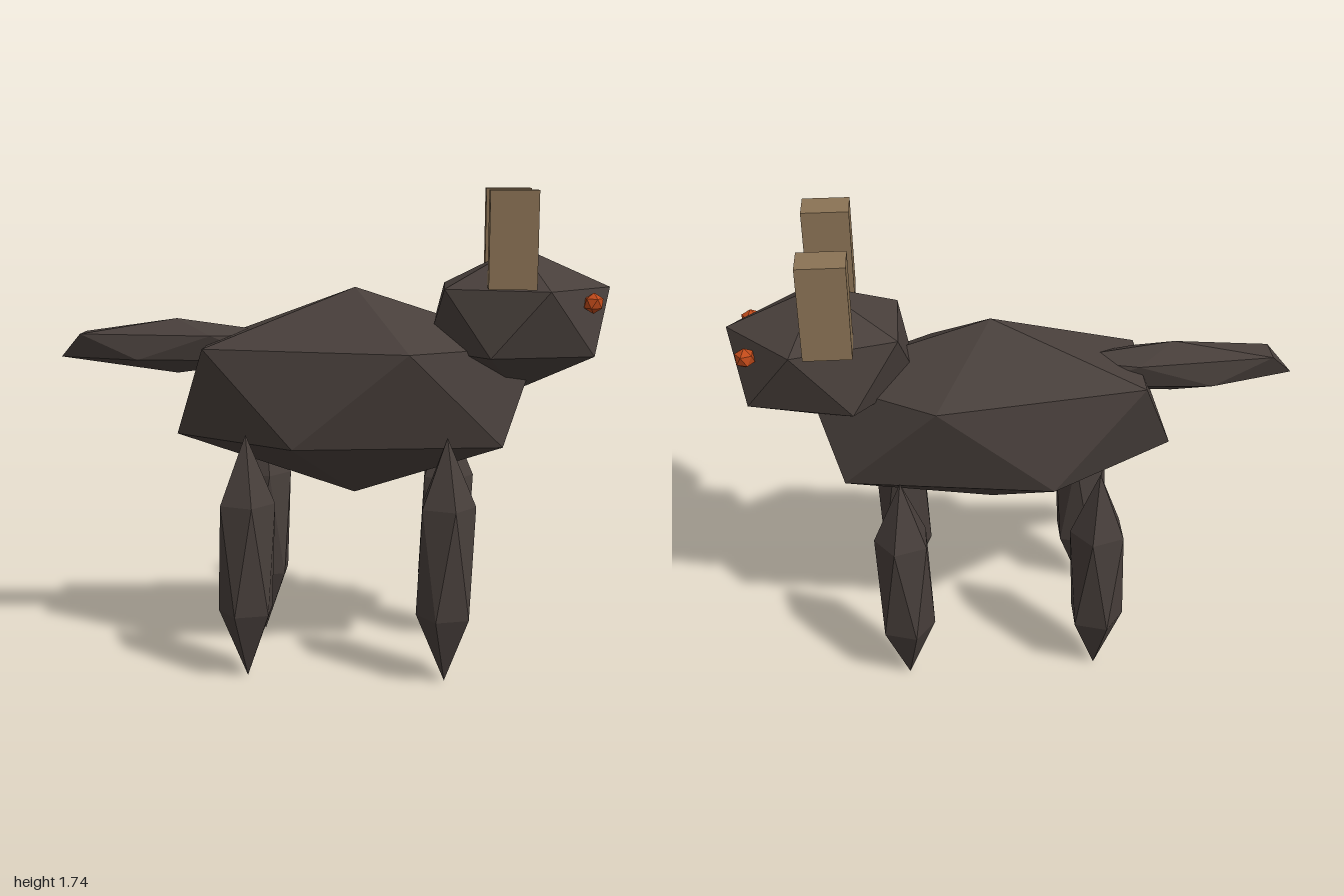
import * as THREE from 'three';

const fur = new THREE.MeshStandardMaterial({ name: 'darkFur', color: 0x483f3b, flatShading: true });
const horn = new THREE.MeshStandardMaterial({ name: 'tanHorn', color: 0x8b7355, flatShading: true });
const ember = new THREE.MeshStandardMaterial({ name: 'orangeEye', color: 0xc04a1a, flatShading: true });

// Icosahedron standing on a pole, with two staggered rings of five corners
function gemGeometry() {
  const verts = [0, 1, 0, 0, -1, 0];
  const faces = [];
  const h = 1 / Math.sqrt(5);
  for (const [y, offset] of [[h, 0], [-h, Math.PI / 5]]) {
    for (let i = 0; i < 5; i++) {
      const a = offset + (i * Math.PI * 2) / 5;
      verts.push(2 * h * Math.cos(a), y, 2 * h * Math.sin(a));
    }
  }
  for (let i = 0; i < 5; i++) {
    const j = (i + 1) % 5;
    const u = 2 + i, u2 = 2 + j, l = 7 + i, l2 = 7 + j;
    faces.push(0, u2, u, 1, l, l2, u, u2, l, l2, l, u2);
  }
  return new THREE.PolyhedronGeometry(verts, faces, 1, 0);
}

function gem(name, material, [x, y, z], [rx, ry, rz]) {
  const mesh = new THREE.Mesh(gemGeometry().scale(rx, ry, rz), material);
  mesh.name = name;
  mesh.position.set(x, y, z);
  return mesh;
}

export function createModel() {
  const model = new THREE.Group();
  model.name = 'hornedBeast';

  // Body, head and tail are stretched along x; the head points to +x
  model.add(
    gem('body', fur, [0.09, 1.01, 0], [0.74, 0.38, 0.335]),
    gem('head', fur, [0.675, 1.28, 0], [0.364, 0.26, 0.284]),
    gem('tail', fur, [-0.565, 1.17, 0], [0.487, 0.101, 0.094]),
  );

  // Paired parts on both sides of the body
  for (const [side, s] of [['near', 1], ['far', -1]]) {
    for (const [end, x] of [['front', 0.43], ['back', -0.28]]) {
      model.add(gem(`${end}Leg_${side}`, fur, [x, 0.445, s * 0.264], [0.116, 0.445, 0.116]));
    }
    model.add(gem(`eye_${side}`, ember, [0.93, 1.35, s * 0.138], [0.037, 0.037, 0.037]));

    const block = new THREE.Mesh(new THREE.BoxGeometry(0.165, 0.335, 0.123), horn);
    block.name = `horn_${side}`;
    block.position.set(0.643, 1.573, s * 0.212);
    model.add(block);
  }
  return model;
}
